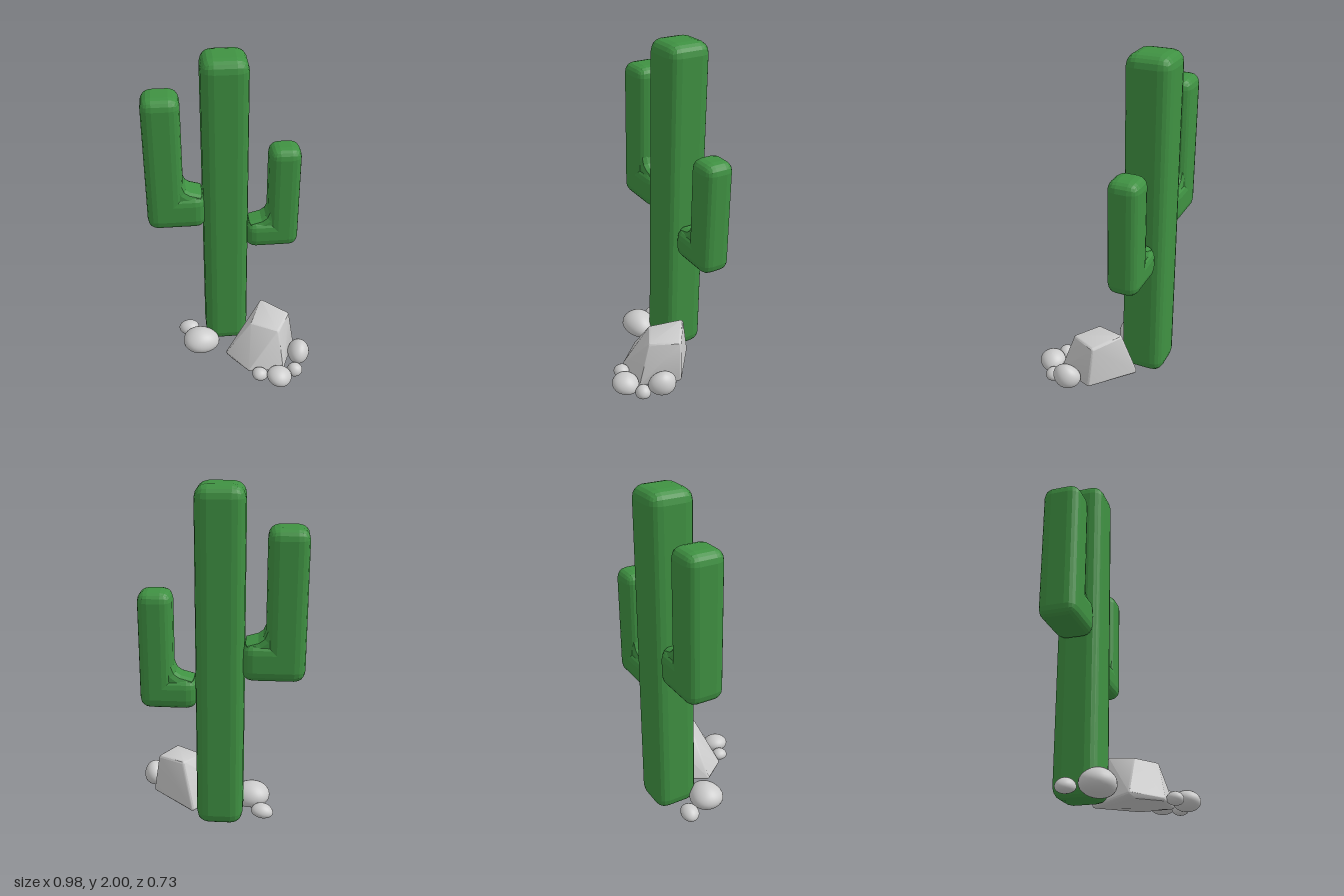
import * as THREE from 'three';
import { toCreasedNormals } from 'three/addons/utils/BufferGeometryUtils.js';
import { RoundedBoxGeometry } from 'three/addons/geometries/RoundedBoxGeometry.js';
import { ConvexGeometry } from 'three/addons/geometries/ConvexGeometry.js';

const green = new THREE.MeshStandardMaterial({ color: 0x3f9142, flatShading: true });
const grey = new THREE.MeshStandardMaterial({ color: 0xcccccc });

function addMesh(parent, name, geometry, material) {
  const mesh = new THREE.Mesh(geometry, material);
  mesh.name = name;
  parent.add(mesh);
  return mesh;
}

// Bevelled box given by its extents on each axis
function bevelBox(parent, name, [x0, x1], [y0, y1], [z0, z1], radius) {
  const geometry = new RoundedBoxGeometry(Math.abs(x1 - x0), y1 - y0, z1 - z0, 2, radius);
  addMesh(parent, name, geometry, green).position.set((x0 + x1) / 2, (y0 + y1) / 2, (z0 + z1) / 2);
}

// L-shaped arm: elbow, upright and the fillet in its inner corner
function arm(name, { side, root, inner, outer, bottom, elbowTop, top, z, radius }) {
  const group = new THREE.Group();
  group.name = name;
  bevelBox(group, 'upright', [side * inner, side * outer], [bottom, top], z, radius);
  bevelBox(group, 'elbow', [side * root, side * outer], [bottom, elbowTop], z, radius);

  const bevel = 0.035;
  const shape = new THREE.Shape([
    [inner + 0.07, elbowTop - 0.07], [inner + 0.07, elbowTop + 0.09],
    [inner + 0.035, elbowTop + 0.06], [inner + 0.015, elbowTop + 0.01],
    [inner - 0.025, elbowTop - 0.02], [root + 0.055, elbowTop - 0.035], [root + 0.055, elbowTop - 0.07],
  ].map(([x, y]) => new THREE.Vector2(side * x, y)));
  const depth = z[1] - z[0] - 0.1;
  const fillet = new THREE.ExtrudeGeometry(shape, {
    depth, bevelThickness: bevel, bevelSize: bevel, bevelSegments: 2,
  });
  addMesh(group, 'fillet', fillet, green).position.z = (z[0] + z[1] - depth) / 2;
  return group;
}

// Hull around small balls at the corners, giving softly bevelled edges
function boulder() {
  const r = 0.018;
  const ball = new THREE.IcosahedronGeometry(r, 1).getAttribute('position');
  const corners = [
    [0.13, 0.27, 0.03], [0.275, 0.275, 0.115], [0.355, 0.285, -0.03], [0.21, 0.307, -0.135],
    [-0.022, 0.06, 0.045], [0.0, 0.045, 0.065], [0.10, 0.045, 0.192],
    [0.30, 0.045, 0.192], [0.39, 0.06, -0.015], [0.15, 0.045, -0.205],
  ];
  const points = [];
  for (const c of corners) {
    for (let i = 0; i < ball.count; i++) {
      points.push(new THREE.Vector3().fromBufferAttribute(ball, i).add(new THREE.Vector3(...c)));
    }
  }
  return toCreasedNormals(new ConvexGeometry(points), 0.5);
}

// Smooth, slightly lopsided stone: wide and flat below, narrower above
function pebble(rx, ry, rz, phase) {
  const geometry = new THREE.SphereGeometry(1, 28, 18);
  const p = geometry.getAttribute('position');
  for (let i = 0; i < p.count; i++) {
    const x = p.getX(i), y = p.getY(i), z = p.getZ(i);
    const lump = 1 + 0.06 * Math.sin(2 * x + phase) * Math.cos(2.5 * z - phase);
    const taper = 1 - 0.12 * y;
    p.setXYZ(i, x * rx * lump * taper, y * ry, z * rz * lump * taper);
  }
  geometry.computeVertexNormals();
  // Rejoin the shading across the sphere's seam
  const n = geometry.getAttribute('normal');
  for (let row = 0; row <= 18; row++) {
    const a = row * 29, b = a + 28;
    const v = new THREE.Vector3().fromBufferAttribute(n, a)
      .add(new THREE.Vector3().fromBufferAttribute(n, b)).normalize();
    n.setXYZ(a, v.x, v.y, v.z);
    n.setXYZ(b, v.x, v.y, v.z);
  }
  return geometry;
}

export function createModel() {
  const model = new THREE.Group();
  model.name = 'cactusWithRocks';

  // Cactus
  const cactus = new THREE.Group();
  cactus.name = 'cactus';
  model.add(cactus);
  bevelBox(cactus, 'trunk', [-0.155, 0.113], [0.025, 2], [-0.365, -0.098], 0.07);
  cactus.add(arm('tallArm', {
    side: -1, root: 0.14, inner: 0.27, outer: 0.49, bottom: 0.93, elbowTop: 1.155, top: 1.78,
    z: [-0.345, -0.12], radius: 0.062,
  }));
  cactus.add(arm('shortArm', {
    side: 1, root: 0.105, inner: 0.24, outer: 0.43, bottom: 0.745, elbowTop: 0.93, top: 1.425,
    z: [-0.325, -0.14], radius: 0.06,
  }));

  // Rocks: centre, radii and tilt of each pebble
  const rocks = new THREE.Group();
  rocks.name = 'rocks';
  model.add(rocks);
  addMesh(rocks, 'boulder', boulder(), grey);
  const pebbles = [
    [[-0.20, 0.082, -0.07], [0.117, 0.077, 0.10], -0.06],
    [[-0.27, 0.06, -0.225], [0.066, 0.042, 0.055], 0.15],
    [[0.42, 0.10, 0.115], [0.068, 0.074, 0.085], -0.25],
    [[0.38, 0.048, 0.225], [0.048, 0.042, 0.048], 0.2],
    [[0.275, 0.064, 0.285], [0.079, 0.055, 0.078], -0.25],
    [[0.155, 0.055, 0.25], [0.05, 0.037, 0.048], -0.15],
  ];
  pebbles.forEach(([centre, radii, tilt], i) => {
    const mesh = addMesh(rocks, `pebble${i + 1}`, pebble(...radii, i * 1.3), grey);
    mesh.position.set(...centre);
    mesh.rotation.z = tilt;
  });
  return model;
}
